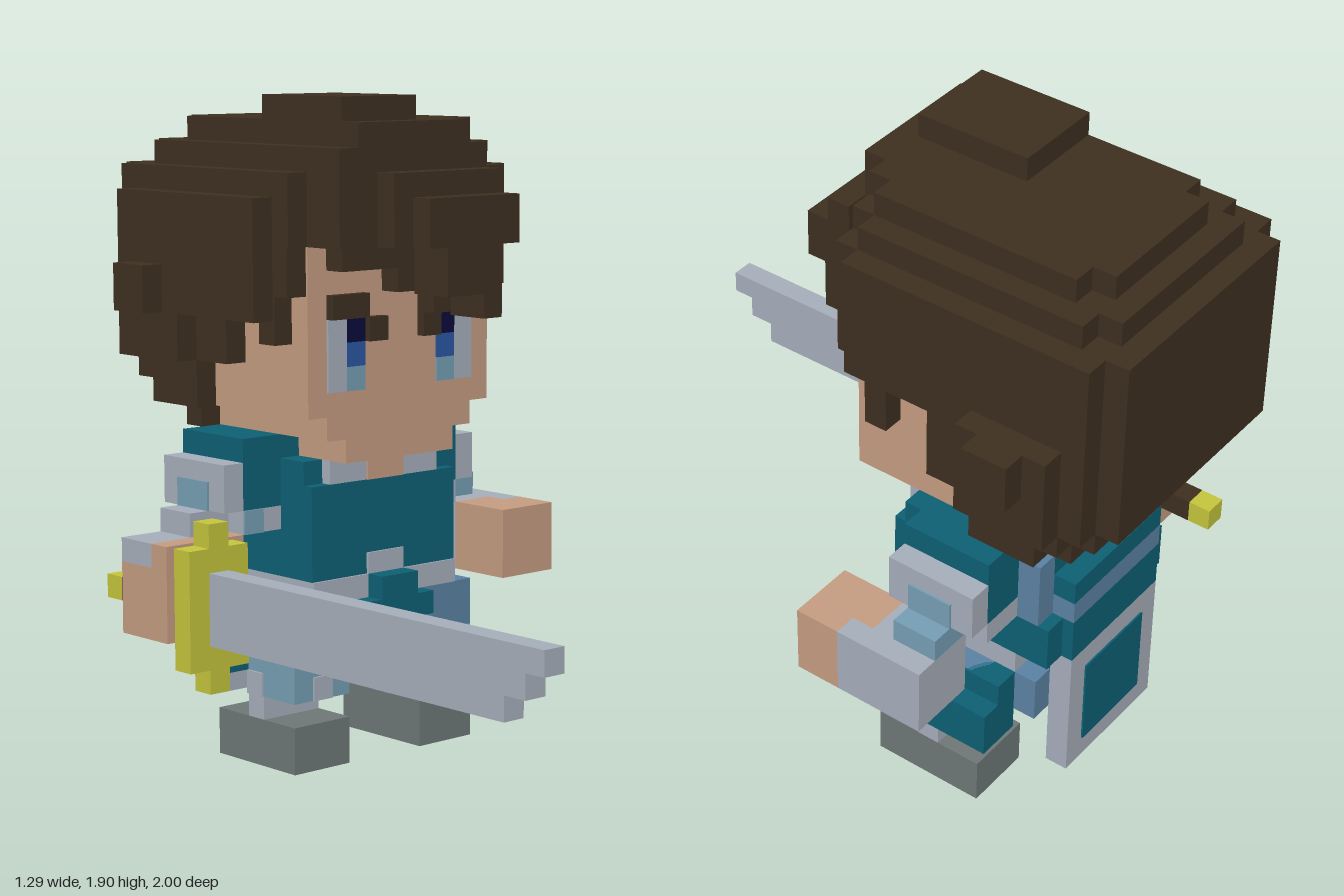
import * as THREE from 'three';

// Voxel grid: one cell is U wide; cells mirror about x = U / 2
const U = 0.0677;
const X = (k) => U * (k + 0.5), Y = (j) => U * j, Z = (m) => -1 + U * m;

const mat = (name, color) => {
  const m = new THREE.MeshStandardMaterial({ color, side: THREE.FrontSide });
  m.name = name;
  return m;
};

export function createModel() {
  const model = new THREE.Group();
  model.name = 'voxelSwordsman';
  const brown = mat('brown', 0x3d2f20), skin = mat('skin', 0xc39b80), teal = mat('teal', 0x0d5f73);
  const silver = mat('silver', 0xa5adb9), pale = mat('paleBlue', 0x749db2), mid = mat('midBlue', 0x5a81a2);
  const grey = mat('grey', 0x6d7676), gold = mat('gold', 0xc3c33c);
  const navy = mat('navy', 0x0a0a3c), blue = mat('blue', 0x2a55a0);

  const part = (name) => {
    const g = new THREE.Group();
    g.name = name;
    model.add(g);
    return g;
  };
  // Box between grid planes
  const box = (g, name, m, x0, x1, y0, y1, z0, z1) => {
    const mesh = new THREE.Mesh(new THREE.BoxGeometry((x1 - x0) * U, (y1 - y0) * U, (z1 - z0) * U), m);
    mesh.position.set(X((x0 + x1) / 2), Y((y0 + y1) / 2), Z((z0 + z1) / 2));
    mesh.name = name;
    g.add(mesh);
  };
  const pair = (g, name, m, x0, x1, ...r) => {
    box(g, name + 'Left', m, x0, x1, ...r);
    box(g, name + 'Right', m, -x1, -x0, ...r);
  };

  // Hair: slabs with stepped corners
  const hair = part('hair');
  const slab = (y0, y1, hw, zb, zf, frontStep) => {
    const half = [[hw - 2, zb], [hw - 2, zb], [hw - 1, zb], [hw - 1, zb + 1], [hw, zb + 1], [hw, zf - frontStep],
      [hw - frontStep, zf - frontStep], [hw - frontStep, zf]].slice(1);
    if (!frontStep) half.splice(-2, 2);
    const pts = [...half, ...half.slice().reverse().map(([x, z]) => [-x, z])];
    const shape = new THREE.Shape(pts.map(([x, z]) => new THREE.Vector2(X(x), -Z(z))));
    const geo = new THREE.ExtrudeGeometry(shape, { depth: (y1 - y0) * U, bevelEnabled: false });
    geo.rotateX(-Math.PI / 2).translate(0, Y(y0), 0);
    const mesh = new THREE.Mesh(geo, brown);
    mesh.name = 'hairLayer';
    hair.add(mesh);
  };
  [[26, 27, 4, 2, 13, 1], [25, 26, 5, 1, 13, 1], [22, 25, 6, 0, 13, 1], [20, 22, 6, 0, 11.9, 0],
    [17, 20, 6, 0, 8, 0], [16, 17, 6, 1, 6, 0], [15, 16, 6, 2, 6, 0], [14, 15, 5, 3, 5, 0]].forEach((s) => slab(...s));
  box(hair, 'crownTuft', brown, -4, 0, 27, 28, 8, 13);
  box(hair, 'rightSweep', brown, -7, -6, 19, 24, 2, 11);
  pair(hair, 'sideTuft', brown, 6, 7, 17, 21, 2, 6);
  pair(hair, 'sideTuftOuter', brown, 7, 8, 19, 21, 3, 5);
  pair(hair, 'sideburn', brown, 5, 5.9, 18, 20, 10, 11);
  // Fringe
  [[-5, 2, 22, 26, 12, 14], [-4, 2, 26, 27, 12, 14], [-3, 3, 22, 25, 14, 15], [-2, 3, 22, 24, 14, 16],
    [-1, 2, 20, 24, 14, 16], [1, 2, 19, 20, 14, 16], [-4, -1, 21, 22, 12, 13],
    [3, 5, 20, 22, 12, 13], [-1, 2, 20, 22, 12, 13]].forEach((b) => box(hair, 'fringe', brown, ...b));

  // Head
  const head = part('head');
  box(head, 'face', skin, -5, 5, 15, 22, 5, 12);
  box(head, 'jaw', skin, -4, 4, 14, 15, 5, 12);
  box(head, 'chin', skin, -3, 3, 13, 14, 9, 12);
  box(head, 'neck', skin, -1, 1, 12, 13, 9, 11.1);
  pair(head, 'eyeWhite', silver, 3, 4, 16, 19, 12, 12.1);
  pair(head, 'pupil', navy, 2, 3, 18, 19, 12, 12.1);
  pair(head, 'iris', blue, 2, 3, 17, 18, 12, 12.1);
  pair(head, 'irisLow', pale, 2, 3, 16, 17, 12, 12.1);
  box(head, 'browRight', brown, -4, -2, 19, 20, 12, 12.4);
  box(head, 'browRightEnd', brown, -2, -1, 18, 19, 12, 12.4);
  box(head, 'browLeft', brown, 1, 3, 19, 20, 12, 13);
  box(head, 'browLeftEnd', brown, 1, 2, 18, 19, 12, 12.4);

  // Torso
  const torso = part('torso');
  box(torso, 'tunic', teal, -4, 4, 8, 12, 5, 11);
  box(torso, 'chest', teal, -4, 4, 12, 13, 5, 10);
  pair(torso, 'collar', silver, 1, 3, 12, 13, 9, 11);
  pair(torso, 'collarEnd', teal, 3, 4, 12, 13, 9, 10.5);
  pair(torso, 'shoulder', teal, 4, 6, 11, 13, 5, 9);
  pair(torso, 'shoulderTop', teal, 2, 6, 13, 14, 5, 9);
  box(torso, 'nape', teal, -2, 2, 13, 14, 5, 9);
  box(torso, 'belt', silver, -4, 4, 7, 8, 5, 11.1);
  box(torso, 'buckle', silver, -1, 1, 8, 8.9, 10, 11.1);
  box(torso, 'hips', teal, -4, 4, 5, 7, 5, 10.5);
  pair(torso, 'hipPlate', mid, 2, 5, 5, 7, 6, 11);
  pair(torso, 'skirtSide', teal, 5, 6, 4, 6, 5, 8);
  pair(torso, 'skirtSideTop', teal, 4, 5.1, 4, 7, 5, 8);
  box(torso, 'flapTop', teal, -1, 1, 6, 8, 10, 12);
  box(torso, 'flap', mid, -2, 2, 4, 6, 10.5, 12);
  box(torso, 'flapInset', teal, -1, 1, 4, 5, 12, 12.1);
  box(torso, 'flapShield', teal, -2, 2, 6, 7, 10.5, 11.9);

  // Cape
  const cape = part('cape');
  pair(cape, 'strap', mid, 3, 4, 10, 13, 4, 5);
  pair(cape, 'lowerStrap', mid, 3, 4, 5, 7, 4, 5);
  box(cape, 'capeCollar', teal, -3, 3, 12, 13, 4, 5);
  box(cape, 'capeTop', teal, -3, 3, 11, 12, 3, 5);
  box(cape, 'capeBand', mid, -3, 3, 10, 11, 3, 5);
  box(cape, 'capeMiddle', teal, -3, 3, 8, 10, 3, 5);
  pair(cape, 'capeSide', teal, 3, 4, 8, 10, 3.5, 6);
  box(cape, 'capeBorder', silver, -3, 3, 2, 8, 3, 4);
  box(cape, 'capeInset', teal, -2, 2, 3, 7, 2.92, 4.08);

  // Legs
  const legs = part('legs');
  pair(legs, 'boot', grey, 2, 5, 0, 2, 6, 11);
  pair(legs, 'shin', grey, 3, 4, 2, 4, 7, 8);
  pair(legs, 'calfGuard', silver, 2, 5, 2, 3, 8, 9);
  pair(legs, 'thigh', pale, 2, 5, 3, 5, 8, 11);
  pair(legs, 'kneeStud', silver, 3, 4, 3, 4, 10, 11.1);
  pair(legs, 'legSideStud', silver, 4, 5.1, 3, 4, 8, 9);

  // Arms
  const arms = part('arms');
  pair(arms, 'pauldron', silver, 6, 7, 11, 13, 5, 9);
  pair(arms, 'pauldronMark', pale, 6.9, 7.1, 11, 12.2, 6, 8);
  pair(arms, 'sleeve', silver, 4, 6, 10, 11, 5, 9);
  box(arms, 'leftElbow', pale, 6, 8, 10, 11, 6, 8);
  box(arms, 'leftForearm', silver, 6, 9, 7, 10, 6, 9);
  box(arms, 'leftCuff', silver, 8, 9, 7, 10, 9, 10);
  box(arms, 'leftCuffSkin', skin, 6, 8, 7, 10, 9, 10);
  box(arms, 'leftHand', skin, 6, 9, 7, 10, 10, 12);
  box(arms, 'rightElbow', silver, -8, -6, 10, 11, 6, 8);
  box(arms, 'rightSleeveMark', pale, -6, -5, 10, 11, 9, 9.1);
  box(arms, 'rightCuff', silver, -10, -7, 9, 10, 6, 8);
  box(arms, 'rightWrist', skin, -7, -6, 9, 10, 6, 9);
  box(arms, 'rightHand', skin, -10, -7, 6, 9, 6, 9);
  box(arms, 'rightKnuckles', skin, -10, -7, 9, 10, 8, 9);

  // Sword
  const sword = part('sword');
  [[8, 9, 29.54], [7, 8, 28.6], [6, 7, 27.5]].forEach(([y0, y1, z]) => box(sword, 'blade', silver, -9, -8, y0, y1, 10, z));
  box(sword, 'guard', gold, -10, -7, 5, 10, 9.5, 10.5);
  box(sword, 'guardTips', gold, -9, -8, 4, 11, 9.5, 10.5);
  box(sword, 'grip', brown, -9, -8, 7, 8, 4.6, 9.5);
  box(sword, 'pommel', gold, -9, -8, 7, 8, 3.6, 4.6);
  return model;
}
